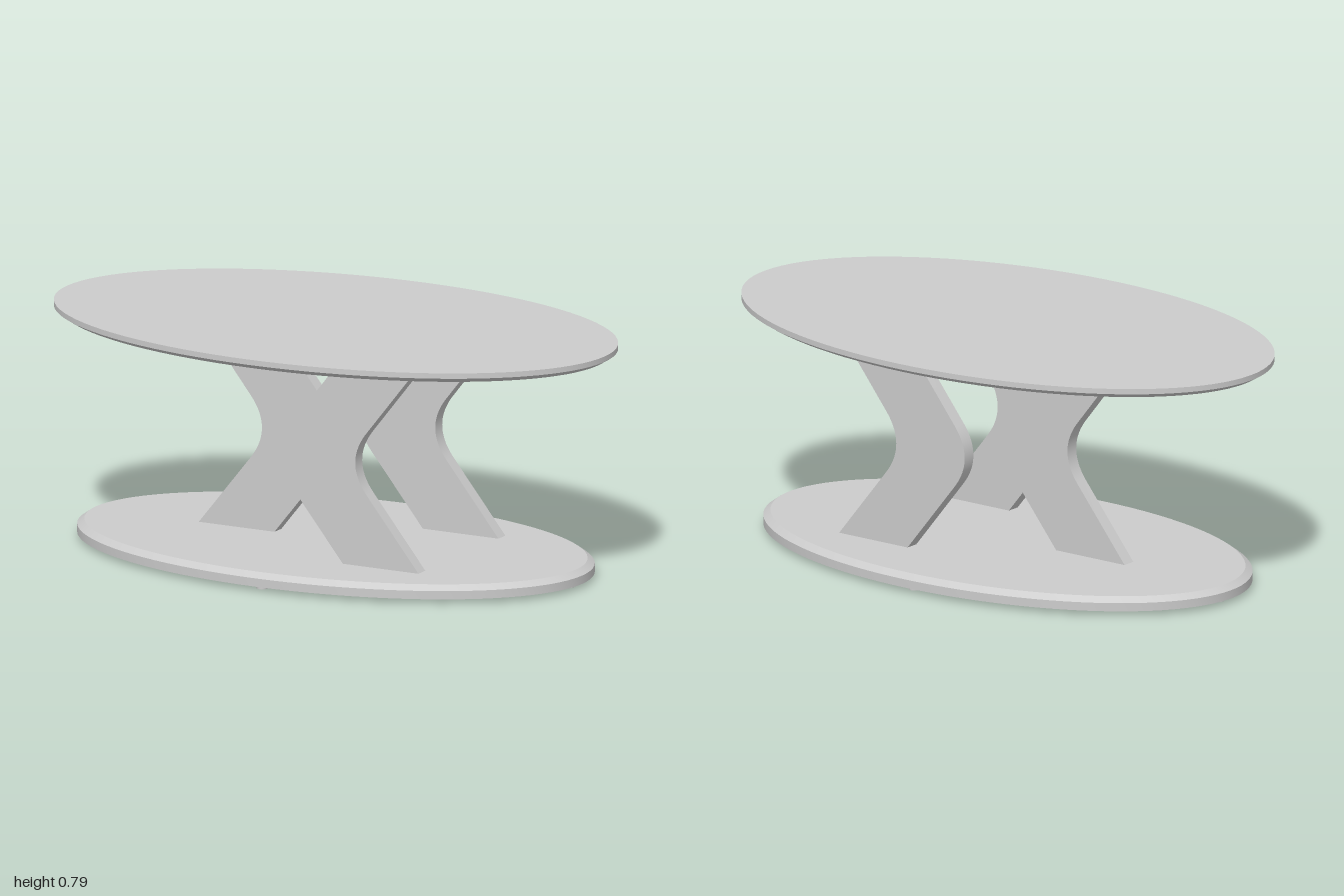
import * as THREE from 'three';
import { toCreasedNormals } from 'three/addons/utils/BufferGeometryUtils.js';

const material = new THREE.MeshStandardMaterial({ color: 0xcccccc });

function addMesh(parent, name, geometry, x = 0, y = 0, z = 0) {
  const mesh = new THREE.Mesh(geometry, material);
  mesh.name = name;
  mesh.position.set(x, y, z);
  parent.add(mesh);
  return mesh;
}

// Oval slab; the profile lists [inset from the rim, height] from bottom to top
function ovalSlab(rx, rz, profile) {
  const points = profile.map(([inset, y]) => new THREE.Vector2(1 - inset, y));
  points.unshift(new THREE.Vector2(0, profile[0][1]));
  points.push(new THREE.Vector2(0, profile[profile.length - 1][1]));
  const geometry = new THREE.LatheGeometry(points, 96);
  const pos = geometry.attributes.position;
  for (let i = 0; i < pos.count; i++) {
    const x = pos.getX(i), z = pos.getZ(i), r = Math.hypot(x, z);
    if (r < 1e-6) continue;
    const inset = 1 - r;
    pos.setX(i, (x / r) * (rx - inset));
    pos.setZ(i, (z / r) * (rz - inset));
  }
  return toCreasedNormals(geometry, 0.4);
}

// Bent leg plate: straight ends joined by a rounded elbow; dir = -1 mirrors it
function legPlate(dir, shift) {
  const w = 0.282, thickness = 0.047;
  const X = (x) => dir * x + shift;
  const shape = new THREE.Shape();
  shape.moveTo(X(0.192), 0.055);
  shape.lineTo(X(0.192 + w), 0.055);
  shape.lineTo(X(-0.005 + w), 0.3);
  shape.quadraticCurveTo(X(-0.09 + w), 0.405, X(-0.005 + w), 0.51);
  shape.lineTo(X(0.192 + w), 0.758);
  shape.lineTo(X(0.192), 0.758);
  shape.lineTo(X(-0.005), 0.51);
  shape.quadraticCurveTo(X(-0.09), 0.405, X(-0.005), 0.3);
  shape.closePath();
  const geometry = new THREE.ExtrudeGeometry(shape, {
    depth: thickness, bevelEnabled: false, curveSegments: 20,
  });
  geometry.translate(0, 0, -thickness / 2);
  return toCreasedNormals(geometry, 0.5);
}

export function createModel() {
  const table = new THREE.Group();
  table.name = 'ovalTable';

  // Top with a chamfered underside, base with a chamfered upper edge
  addMesh(table, 'tableTop', ovalSlab(1, 0.595, [[0.028, 0.755], [0, 0.772], [0, 0.79]]));
  addMesh(table, 'base', ovalSlab(0.917, 0.547, [[0, 0.015], [0, 0.043], [0.024, 0.06]]));

  // Outer legs bend one way, the middle leg bends the other
  addMesh(table, 'frontLeg', legPlate(1, 0), 0, 0, 0.272);
  addMesh(table, 'middleLeg', legPlate(-1, -0.028), 0, 0, 0.001);
  addMesh(table, 'backLeg', legPlate(1, 0), 0, 0, -0.27);

  // Small feet under the base
  const foot = new THREE.CylinderGeometry(0.018, 0.018, 0.016, 20);
  for (const [x, z] of [[0.868, 0], [-0.868, 0], [0, 0.5], [0, -0.5]]) {
    addMesh(table, 'foot', foot, x, 0.008, z);
  }
  return table;
}
